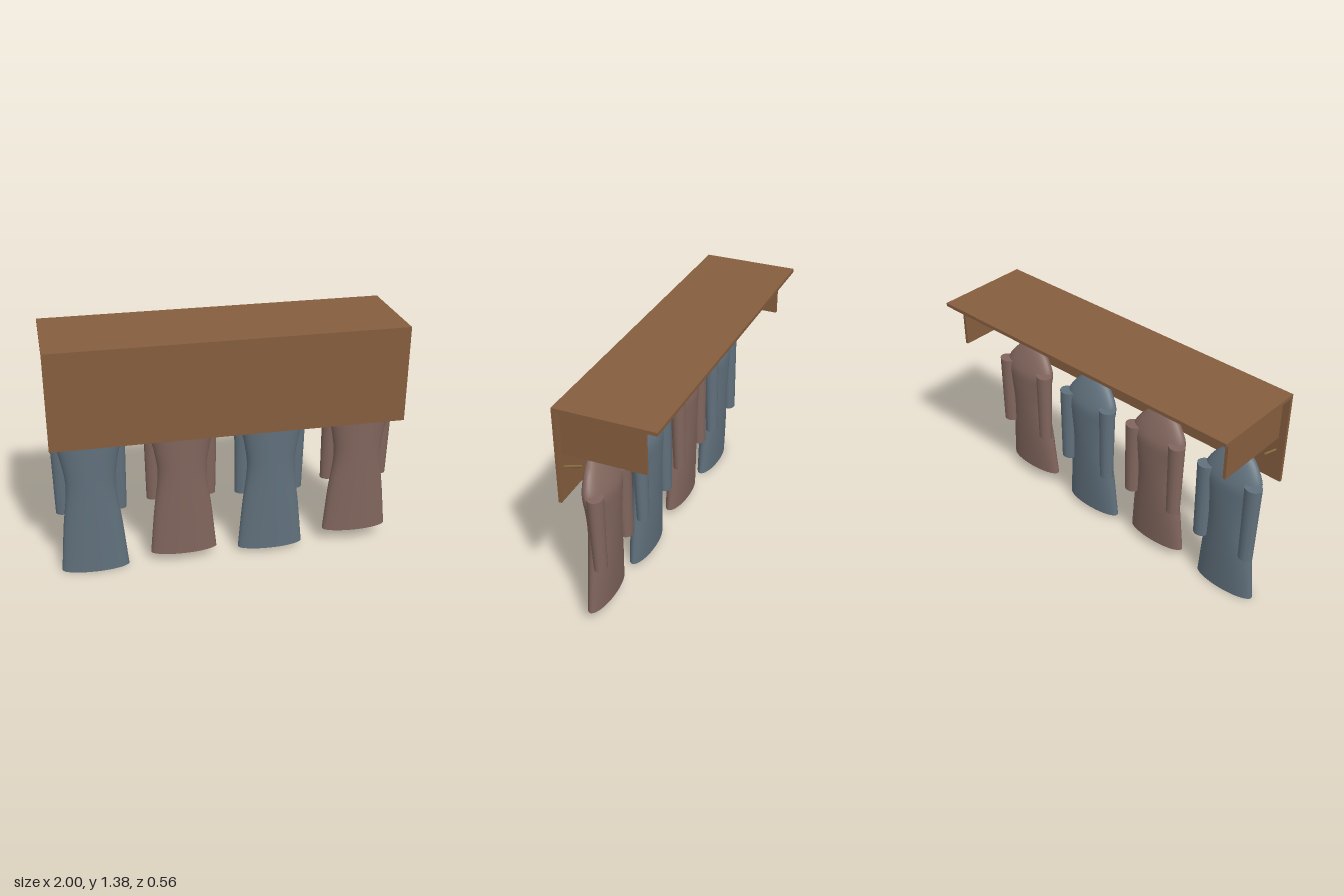
import * as THREE from 'three';
import { mergeVertices, toCreasedNormals } from 'three/addons/utils/BufferGeometryUtils.js';

const wood = new THREE.MeshStandardMaterial({ color: 0x855d3e });
const brass = new THREE.MeshStandardMaterial({ color: 0x8a6e3e });
const blueCloth = new THREE.MeshStandardMaterial({ color: 0x60707c });
const brownCloth = new THREE.MeshStandardMaterial({ color: 0x80655c });

const COAT_TOP = 1.0;
const COAT_FRONT = 0.215;

function addBox(parent, name, size, pos) {
  const mesh = new THREE.Mesh(new THREE.BoxGeometry(...size), wood);
  mesh.name = name;
  mesh.position.set(...pos);
  parent.add(mesh);
}

// Coat body: a capped tube whose rings follow (half width, height, back z);
// the front stays in one plane while width and depth change.
function coatBodyGeometry() {
  const profile = new THREE.CatmullRomCurve3([
    [0.195, 0, 0.1],
    [0.169, 0.28, 0.082],
    [0.14, 0.54, 0.07],
    [0.16, 0.7, 0.066],
    [0.182, 0.8, 0.068],
    [0.178, 0.85, 0.082],
    [0.118, 0.94, 0.125],
    [0.035, 1, 0.168],
  ].map((p) => new THREE.Vector3(...p)), false, 'centripetal');
  let geo = new THREE.CylinderGeometry(1, 1, 1, 40, 35);
  const pos = geo.attributes.position;
  const p = new THREE.Vector3();
  for (let i = 0; i < pos.count; i++) {
    profile.getPoint(THREE.MathUtils.clamp(pos.getY(i) + 0.5, 0, 1), p);
    const halfDepth = (COAT_FRONT - p.z) / 2;
    pos.setXYZ(i, pos.getX(i) * p.x, p.y, COAT_FRONT - halfDepth + pos.getZ(i) * halfDepth);
  }
  geo.deleteAttribute('uv');
  geo.deleteAttribute('normal');
  geo = mergeVertices(geo, 1e-5);
  return toCreasedNormals(geo, Math.PI / 4);
}

// Sleeve: a tapered oval tube hanging straight at the back edge
function sleeveGeometry() {
  const top = 0.847, bottom = 0.35;
  const geo = new THREE.CylinderGeometry(1, 1, 1, 28, 1);
  const pos = geo.attributes.position;
  for (let i = 0; i < pos.count; i++) {
    const t = pos.getY(i) + 0.5;
    const rx = THREE.MathUtils.lerp(0.044, 0.051, t);
    const rz = THREE.MathUtils.lerp(0.035, 0.044, t);
    pos.setXYZ(i,
      pos.getX(i) * rx + THREE.MathUtils.lerp(-0.001, 0, t),
      THREE.MathUtils.lerp(bottom, top, t),
      0.06 + rz + pos.getZ(i) * rz);
  }
  geo.deleteAttribute('uv');
  return toCreasedNormals(geo, Math.PI / 4);
}

export function createModel() {
  const model = new THREE.Group();
  model.name = 'coatRack';

  // Shelf, board and end brackets
  addBox(model, 'shelf', [2, 0.02, 0.56], [0, 1.375, 0]);
  addBox(model, 'pegBoard', [2, 0.54, 0.018], [0, 1.095, 0.271]);
  for (const side of [-1, 1]) {
    addBox(model, side > 0 ? 'leftBracket' : 'rightBracket',
      [0.018, 0.265, 0.462], [side * 0.95, 1.2325, 0.031]);
  }

  // Row of slanted pegs
  const pegFrom = new THREE.Vector3(0, 1.017, 0.265);
  const pegTo = new THREE.Vector3(0, 1.048, 0.162);
  const pegDir = pegTo.clone().sub(pegFrom);
  const pegGeo = new THREE.CylinderGeometry(0.006, 0.006, pegDir.length(), 12);
  const pegs = new THREE.Group();
  pegs.name = 'pegs';
  for (let i = 0; i < 9; i++) {
    const peg = new THREE.Mesh(pegGeo, brass);
    peg.name = 'peg';
    peg.position.copy(pegFrom).add(pegTo).multiplyScalar(0.5);
    peg.position.x = -0.95 + i * 0.2375;
    peg.quaternion.setFromUnitVectors(new THREE.Vector3(0, 1, 0), pegDir.clone().normalize());
    pegs.add(peg);
  }
  model.add(pegs);

  // Hanging coats, each with its own length below a common top
  const bodyGeo = coatBodyGeometry();
  const sleeveGeo = sleeveGeometry();
  [1, 0.943, 0.973, 0.913].forEach((length, i) => {
    const cloth = i % 2 ? brownCloth : blueCloth;
    const coat = new THREE.Group();
    coat.name = 'coat';
    const body = new THREE.Mesh(bodyGeo, cloth);
    body.name = 'coatBody';
    coat.add(body);
    for (const side of [-1, 1]) {
      const sleeve = new THREE.Mesh(sleeveGeo, cloth);
      sleeve.name = side > 0 ? 'leftSleeve' : 'rightSleeve';
      sleeve.position.x = side * 0.158;
      coat.add(sleeve);
    }
    coat.scale.y = length;
    coat.position.set(-0.783 + i * 0.521, COAT_TOP - length, 0);
    model.add(coat);
  });

  return model;
}
